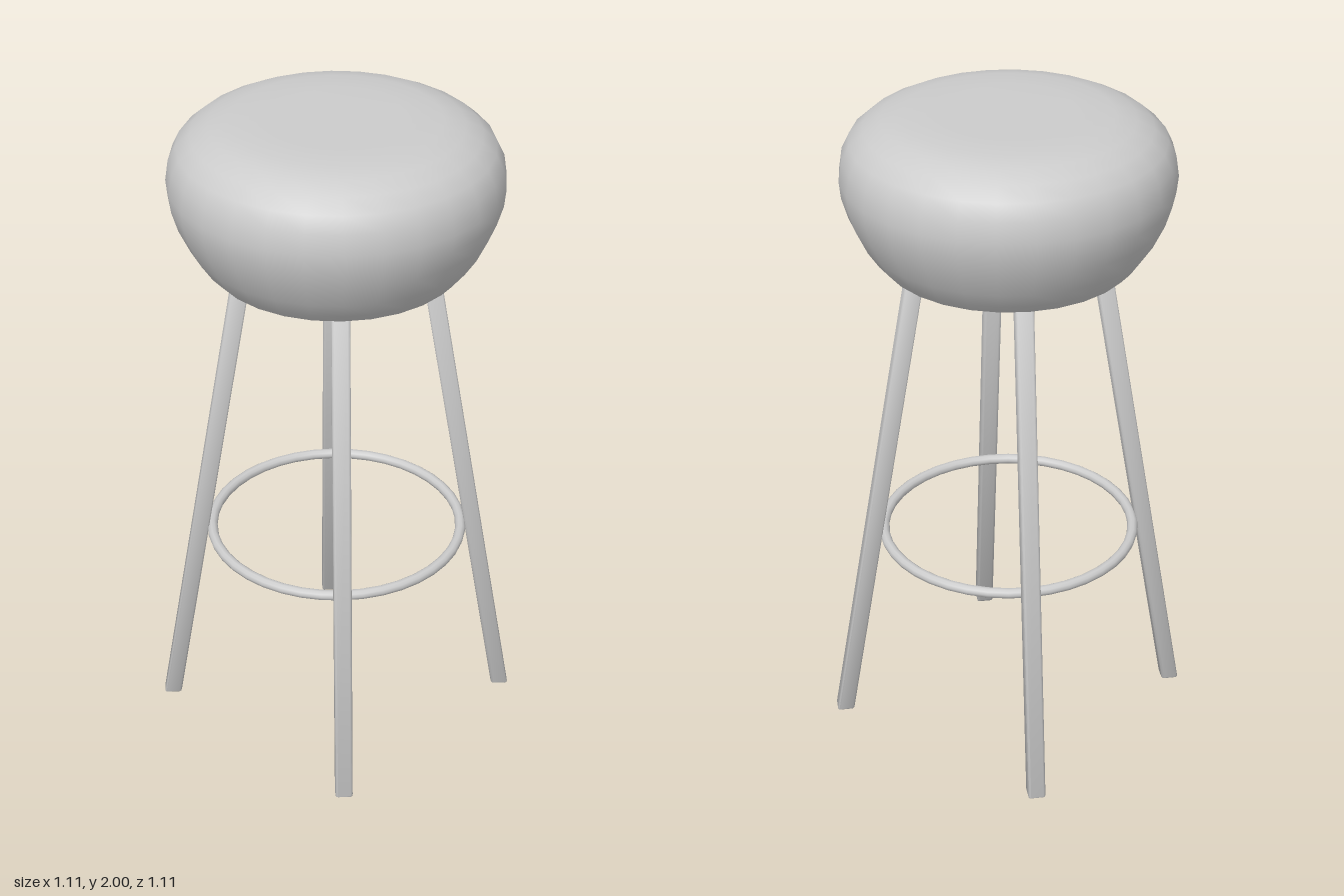
import * as THREE from 'three';
import { RoundedBoxGeometry } from 'three/addons/geometries/RoundedBoxGeometry.js';
import { toCreasedNormals } from 'three/addons/utils/BufferGeometryUtils.js';

const LEG_TOP = 1.62;   // legs end inside the seat
const FOOT_RADIUS = 0.528;
const SPLAY = 0.168;    // inward run per unit of height

export function createModel() {
  const group = new THREE.Group();
  const material = new THREE.MeshStandardMaterial({ color: 0xcccccc });

  const add = (name, geometry) => {
    const mesh = new THREE.Mesh(geometry, material);
    mesh.name = name;
    group.add(mesh);
    return mesh;
  };

  // Padded round seat: soft outer curve, with a stepped recess underneath
  const profile = [
    [0, 1.595], [0.305, 1.595], [0.315, 1.58], [0.34, 1.575], [0.345, 1.56], [0.365, 1.56],
    [0.392, 1.59], [0.425, 1.64], [0.458, 1.71], [0.476, 1.77], [0.481, 1.82], [0.472, 1.88],
    [0.45, 1.925], [0.41, 1.96], [0.36, 1.985], [0.3, 1.998], [0.2, 2], [0, 2],
  ].map(([r, y]) => new THREE.Vector2(r, y));
  add('seat', toCreasedNormals(new THREE.LatheGeometry(profile, 28), 0.75));

  // Four square legs with softened edges, sheared so the feet stay level
  const legGeometry = new RoundedBoxGeometry(0.053, LEG_TOP, 0.053, 2, 0.008);
  legGeometry.translate(0, LEG_TOP / 2, 0);
  const p = legGeometry.attributes.position;
  for (let i = 0; i < p.count; i++) {
    p.setX(i, p.getX(i) + FOOT_RADIUS - SPLAY * p.getY(i));
  }
  const leg = toCreasedNormals(legGeometry, 0.7);
  ['leftLeg', 'backLeg', 'rightLeg', 'frontLeg'].forEach((name, i) => {
    add(name, leg).rotation.y = i * Math.PI / 2;
  });

  // Round footrest held against the inner faces of the legs
  const ring = add('footrestRing', new THREE.TorusGeometry(0.383, 0.016, 10, 40));
  ring.rotation.x = Math.PI / 2;
  ring.position.y = 0.64;

  return group;
}
